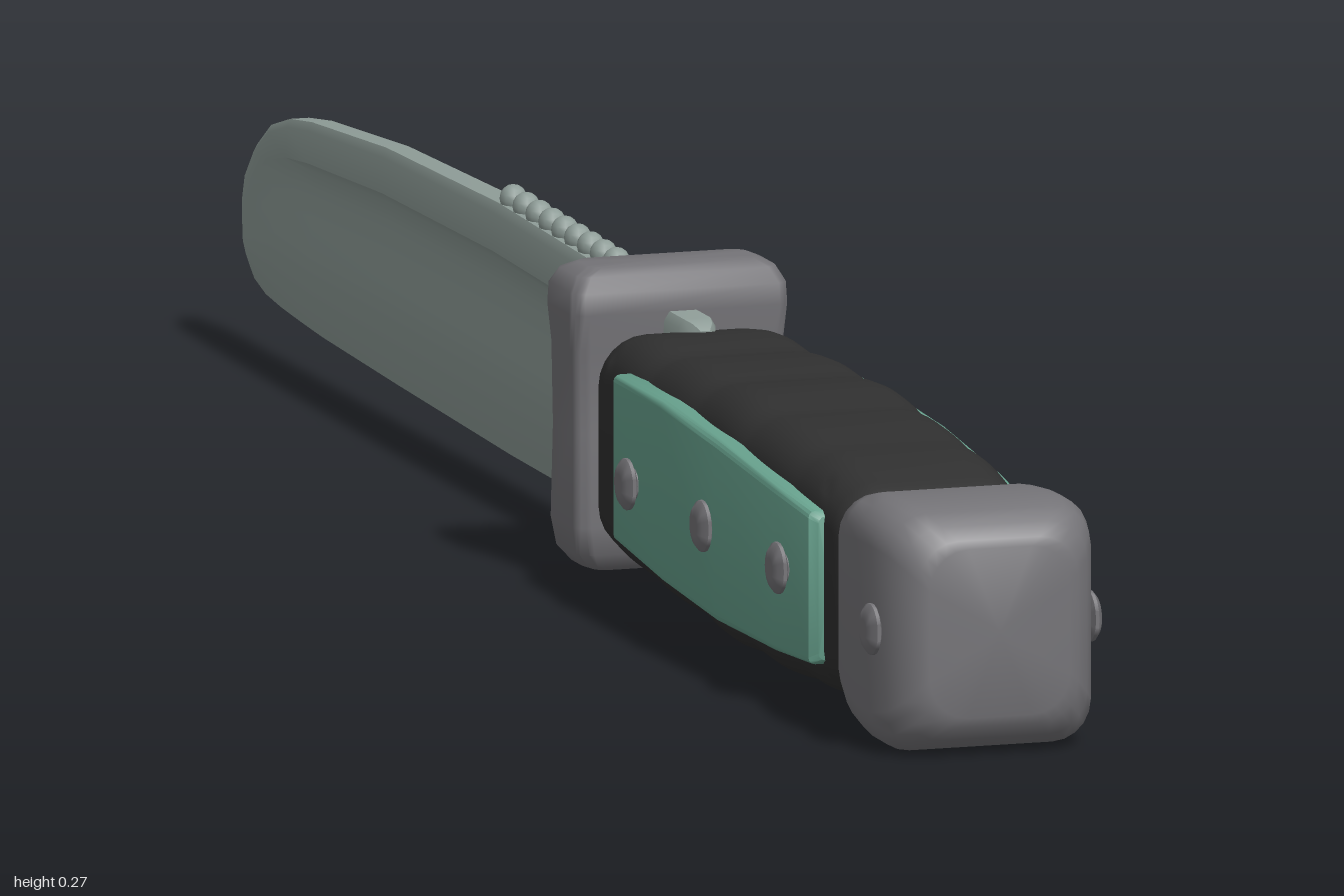
import * as THREE from 'three';
import { toCreasedNormals } from 'three/addons/utils/BufferGeometryUtils.js';

const paint = (name, color) => {
  const m = new THREE.MeshStandardMaterial({ color });
  m.name = name;
  return m;
};

// Skin a list of rings (each counter-clockwise seen from +z, ordered by rising z) and cap both ends
function loft(rings, crease = 0.6) {
  const n = rings[0].length, pos = [], idx = [];
  rings.forEach(r => r.forEach(p => pos.push(...p)));
  for (let i = 0; i < rings.length - 1; i++) {
    for (let j = 0; j < n; j++) {
      const a = i * n + j, b = i * n + (j + 1) % n;
      idx.push(a, b, b + n, a, b + n, a + n);
    }
  }
  [0, rings.length - 1].forEach(i => {
    const c = pos.length / 3, r = rings[i];
    pos.push(...[0, 1, 2].map(k => r.reduce((s, p) => s + p[k], 0) / n));
    for (let j = 0; j < n; j++) {
      const a = i * n + j, b = i * n + (j + 1) % n;
      idx.push(...(i ? [c, a, b] : [c, b, a]));
    }
  });
  const g = new THREE.BufferGeometry();
  g.setAttribute('position', new THREE.Float32BufferAttribute(pos, 3));
  g.setIndex(idx);
  return toCreasedNormals(g, crease);
}

// Rounded rectangle ring at height z
function roundRect(z, x0, x1, y0, y1, r, steps = 5) {
  const ring = [];
  for (let q = 0; q < 4; q++) {
    const cx = q === 0 || q === 3 ? x1 - r : x0 + r;
    const cy = q < 2 ? y1 - r : y0 + r;
    for (let s = 0; s <= steps; s++) {
      const a = (q + s / steps) * Math.PI / 2;
      ring.push([cx + r * Math.cos(a), cy + r * Math.sin(a), z]);
    }
  }
  return ring;
}

// Smooth value along a row of [z, value] stations with rising z
function along(stations, z) {
  const i = Math.max(1, stations.findIndex(s => s[0] >= z - 1e-9));
  const [a, b] = [stations[i - 1], stations[i]];
  return THREE.MathUtils.lerp(a[1], b[1], THREE.MathUtils.smoothstep(z, a[0], b[0]));
}

export function createModel() {
  const model = new THREE.Group();
  model.name = 'knife';
  const steel = paint('blade steel', 0x8f9d98);
  const metal = paint('grey metal', 0x757478);
  const rubber = paint('black grip', 0x303030);
  const green = paint('green panel', 0x67a18d);

  const add = (name, geometry, material, parent = model) => {
    const mesh = new THREE.Mesh(geometry, material);
    mesh.name = name;
    parent.add(mesh);
    return mesh;
  };

  // Blade and tang: stations of z, bottom, top, half thickness, groove depth
  const bladeStations = [
    [-1, 0.085, 0.105, 0.003, 0], [-0.995, 0.068, 0.126, 0.006, 0],
    [-0.98, 0.056, 0.148, 0.009, 0], [-0.95, 0.048, 0.176, 0.011, 0],
    [-0.91, 0.044, 0.2, 0.012, 0.1], [-0.86, 0.041, 0.214, 0.012, 0.35],
    [-0.8, 0.038, 0.222, 0.013, 0.5], [-0.6, 0.033, 0.236, 0.014, 0.55],
    [-0.3, 0.027, 0.243, 0.016, 0.55], [0.0, 0.025, 0.237, 0.017, 0.55],
    [0.06, 0.025, 0.234, 0.017, 0.5], [0.1, 0.03, 0.232, 0.017, 0],
    [0.195, 0.05, 0.232, 0.017, 0], [0.21, 0.05, 0.23, 0.012, 0],
    [0.217, 0.06, 0.225, 0.006, 0],
  ];
  // Half profile from cutting edge to spine: height share, thickness share, groove share
  const profile = [[0.12, 0.45, 0], [0.3, 0.85, 0], [0.42, 0.95, 0.2], [0.55, 0.95, 0.8],
    [0.68, 1, 1], [0.77, 1, 0.8], [0.81, 1, 0], [0.96, 0.95, 0], [1, 0.7, 0]];
  const bladeRings = bladeStations.map(([z, y0, y1, w, groove]) => {
    const side = profile.map(([h, t, g]) => [w * t * (1 - g * groove), y0 + (y1 - y0) * h, z]);
    return [[0, y0, z], ...side, ...side.map(([x, y]) => [-x, y, z]).reverse()];
  });
  add('blade', loft(bladeRings), steel);

  // Saw teeth on the spine
  const teeth = new THREE.Group();
  teeth.name = 'sawTeeth';
  model.add(teeth);
  for (let i = 0; i < 10; i++) {
    const tooth = add('sawTooth', new THREE.SphereGeometry(1, 10, 8), steel, teeth);
    tooth.scale.set(0.012, 0.013, 0.014);
    tooth.position.set(0, 0.241 + 0.0006 * i, 0.016 - 0.0342 * i);
  }

  // Guard: built along its height, pinched at the middle, then stood up
  const guardRings = [[0.01, 0.07, 0.02], [0.014, 0.08, 0.028], [0.026, 0.09, 0.036],
    [0.05, 0.094, 0.039], [0.13, 0.093, 0.036], [0.2, 0.094, 0.037], [0.232, 0.096, 0.042],
    [0.25, 0.095, 0.041], [0.263, 0.088, 0.034], [0.269, 0.075, 0.024]]
    .map(([h, x, z]) => roundRect(h, -x, x, -z, z, Math.min(0.014, z * 0.6)));
  const guard = add('guard', loft(guardRings, 0.9).rotateX(-Math.PI / 2), metal);
  guard.position.z = 0.116;

  // Grip: bulged body with shallow finger ripples
  const gripTop = [[0.17, 0.217], [0.25, 0.221], [0.5, 0.224], [0.7, 0.215], [0.84, 0.2]];
  const gripBottom = [[0.17, 0.036], [0.35, 0.024], [0.55, 0.015], [0.7, 0.016], [0.84, 0.025]];
  const gripRings = [];
  for (let i = 0; i <= 40; i++) {
    const z = 0.17 + 0.67 * i / 40;
    const ripple = 0.005 * Math.abs(Math.sin((z - 0.17) / 0.134 * Math.PI));
    const end = i === 0 || i === 40 ? 0.007 : 0;
    const w = 0.084 + 0.005 * Math.sin(Math.PI * i / 40) - end;
    gripRings.push(roundRect(z, -w, w, along(gripBottom, z) - ripple + end,
      along(gripTop, z) + ripple - end, 0.042, 6));
  }
  add('grip', loft(gripRings), rubber);

  // Pommel: rounded block swelling toward the butt
  const pommelRings = [[0.825, 0.082, 0.024, 0.195], [0.832, 0.087, 0.018, 0.2],
    [0.87, 0.094, 0.007, 0.208], [0.91, 0.097, 0.002, 0.211], [0.945, 0.096, 0.001, 0.211],
    [0.97, 0.09, 0.006, 0.207], [0.987, 0.081, 0.016, 0.198], [0.997, 0.07, 0.028, 0.187],
    [1, 0.062, 0.036, 0.18]]
    .map(([z, w, y0, y1]) => roundRect(z, -w, w, y0, y1, 0.034));
  add('pommel', loft(pommelRings, 0.9), metal);

  // Side panels and rivets, mirrored left and right
  const panelStations = [[0.258, 0.09, 0.064, 0.198], [0.264, 0.097, 0.06, 0.202],
    [0.4, 0.101, 0.05, 0.204], [0.55, 0.103, 0.043, 0.198], [0.7, 0.101, 0.044, 0.186],
    [0.782, 0.097, 0.047, 0.178], [0.788, 0.09, 0.051, 0.174]];
  const rivetProfile = [[0, -0.02], [0.013, -0.02], [0.013, 0], [0.022, 0.004], [0.022, 0.007],
    [0.017, 0.011], [0.009, 0.013], [0, 0.0135]].map(p => new THREE.Vector2(...p));
  for (const side of [1, -1]) {
    const label = side > 0 ? 'left' : 'right';
    const rings = panelStations.map(([z, x, y0, y1]) => side > 0
      ? roundRect(z, 0.072, x, y0, y1, 0.006, 3) : roundRect(z, -x, -0.072, y0, y1, 0.006, 3));
    add(label + 'Panel', loft(rings, 0.7), green);
    for (const [z, x, y] of [[0.325, 0.1, 0.12], [0.525, 0.1, 0.12], [0.725, 0.1, 0.12], [0.947, 0.091, 0.107]]) {
      const rivet = add(label + (z > 0.9 ? 'PommelRivet' : 'PanelRivet'),
        toCreasedNormals(new THREE.LatheGeometry(rivetProfile, 18), 0.8), metal);
      rivet.rotation.z = -side * Math.PI / 2;
      rivet.position.set(side * x, y, z);
    }
  }
  return model;
}
